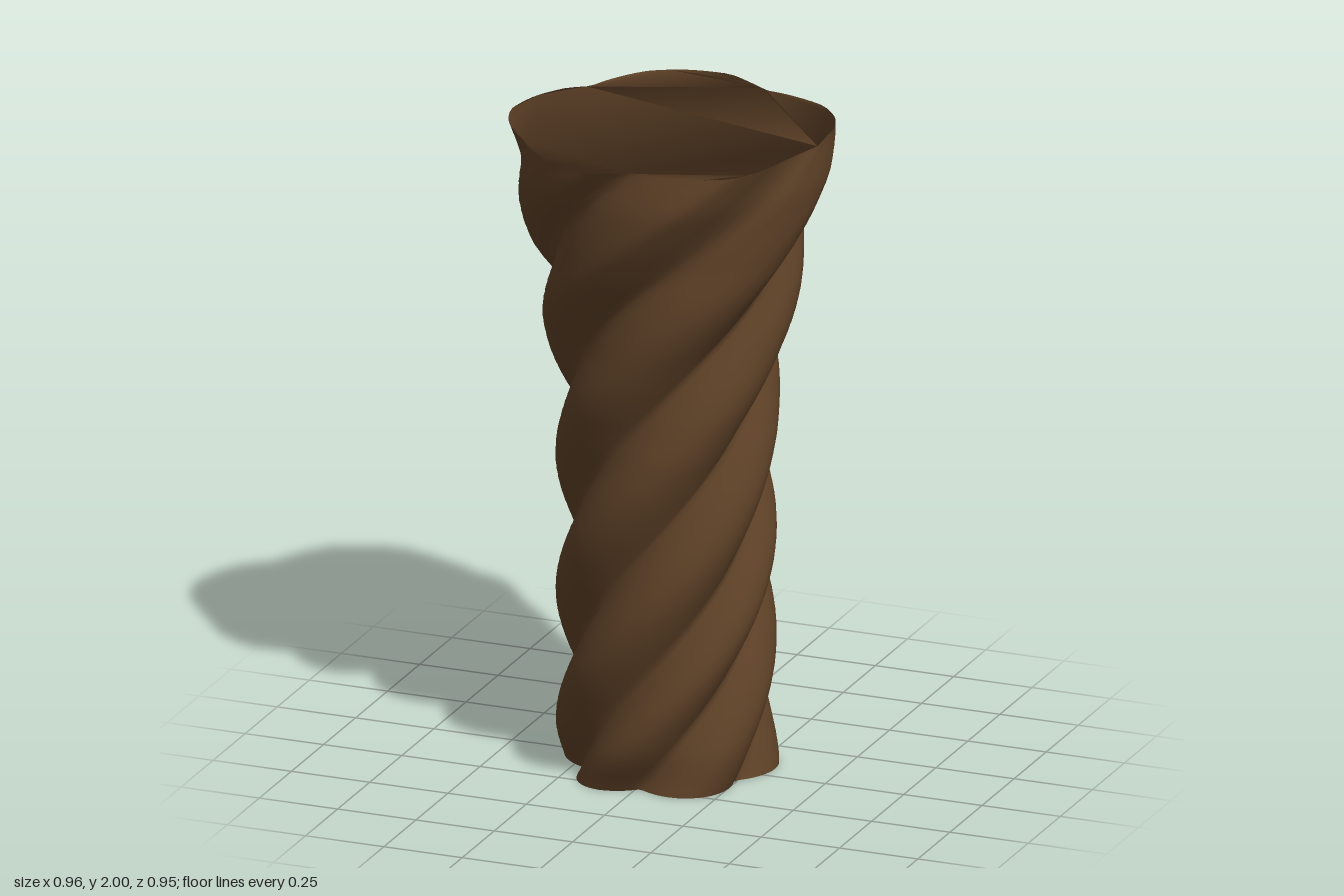
import * as THREE from 'three';

const SIDES = 90, ROWS = 72, HEIGHT = 2;

// Outline of the flared top: angle in degrees, radius
const TOP = [
  [0, 0.475], [6, 0.463], [14, 0.456], [23, 0.461], [34, 0.483], [46, 0.502], [55, 0.488], [67, 0.466],
  [83, 0.423], [90, 0.45], [98, 0.48], [107, 0.482], [118, 0.48], [133, 0.453], [142, 0.447], [151, 0.456],
  [163, 0.476], [175, 0.487], [191, 0.469], [205, 0.443], [213.5, 0.41], [227, 0.442], [240.5, 0.477],
  [253, 0.486], [270, 0.48], [280, 0.445], [291, 0.418], [305, 0.452], [317.5, 0.488], [330, 0.497],
  [344.5, 0.488], [360, 0.475],
];
// Grooves between the five strands, in degrees at the top
const GROOVES = [14, 83, 142, 216, 295, 374];
// Height, outer radius
const FLARE = [[0, 0.325], [1, 0.326], [1.12, 0.332], [1.35, 0.36], [1.5, 0.39], [1.67, 0.423], [1.88, 0.477], [2, 0.49]];
// Height, twist in degrees
const TWIST = [[0, 364], [0.2, 328], [0.9, 198], [1.2, 140], [1.65, 56], [2, 0]];

// Linear lookup in a table of pairs
function lookup(table, v) {
  let i = 1;
  while (i < table.length - 1 && table[i][0] < v) i++;
  const [a, ra] = table[i - 1], [b, rb] = table[i];
  return THREE.MathUtils.lerp(ra, rb, (v - a) / (b - a));
}

// Rounded strands with even grooves, used along the shaft
function strandRadius(deg) {
  const d = deg < GROOVES[0] ? deg + 360 : deg;
  let i = 0;
  while (i < 4 && d >= GROOVES[i + 1]) i++;
  const u = (d - GROOVES[i]) / (GROOVES[i + 1] - GROOVES[i]);
  return 0.382 + 0.11 * Math.sin(Math.PI * u);
}

function trunkGeometry() {
  const pos = [], index = [];
  for (let j = 0; j <= ROWS; j++) {
    const y = (j / ROWS) * HEIGHT;
    const scale = lookup(FLARE, y) / 0.49;
    const blend = THREE.MathUtils.smoothstep(y, 1.3, 2);
    const shift = 0.02 * THREE.MathUtils.smoothstep(y, 0, 0.15) * (1 - THREE.MathUtils.smoothstep(y, 1, 1.5));
    for (let i = 0; i < SIDES; i++) {
      const deg = (i / SIDES) * 360;
      const r = scale * THREE.MathUtils.lerp(strandRadius(deg), lookup(TOP, deg), blend);
      const a = THREE.MathUtils.degToRad(deg + lookup(TWIST, y));
      pos.push(r * Math.cos(a), y, r * Math.sin(a) + shift);
    }
  }
  // Twisted sides
  for (let j = 0; j < ROWS; j++) {
    for (let i = 0; i < SIDES; i++) {
      const a = j * SIDES + i, b = j * SIDES + ((i + 1) % SIDES);
      index.push(a, a + SIDES, b, b, a + SIDES, b + SIDES);
    }
  }
  const g = new THREE.BufferGeometry();
  g.setAttribute('position', new THREE.Float32BufferAttribute(pos, 3));
  g.setIndex(index);
  g.computeVertexNormals();

  // Flat ends that keep the soft shading of the sides
  for (const [start, facing] of [[0, 1], [ROWS * SIDES, -1]]) {
    const rim = [];
    for (let i = start; i < start + SIDES; i++) rim.push(new THREE.Vector2(pos[i * 3], pos[i * 3 + 2]));
    for (const [a, b, c] of THREE.ShapeUtils.triangulateShape(rim, [])) {
      const area = THREE.ShapeUtils.area([rim[a], rim[b], rim[c]]);
      const face = area * facing > 0 ? [a, b, c] : [a, c, b];
      index.push(...face.map((k) => k + start));
    }
  }
  g.setIndex(index);
  return g;
}

export function createModel() {
  const group = new THREE.Group();
  group.name = 'twistedTrunk';
  const bark = new THREE.MeshStandardMaterial({ color: 0x5e4127 });
  bark.name = 'bark brown';
  const trunk = new THREE.Mesh(trunkGeometry(), bark);
  trunk.name = 'trunk';
  group.add(trunk);
  return group;
}
